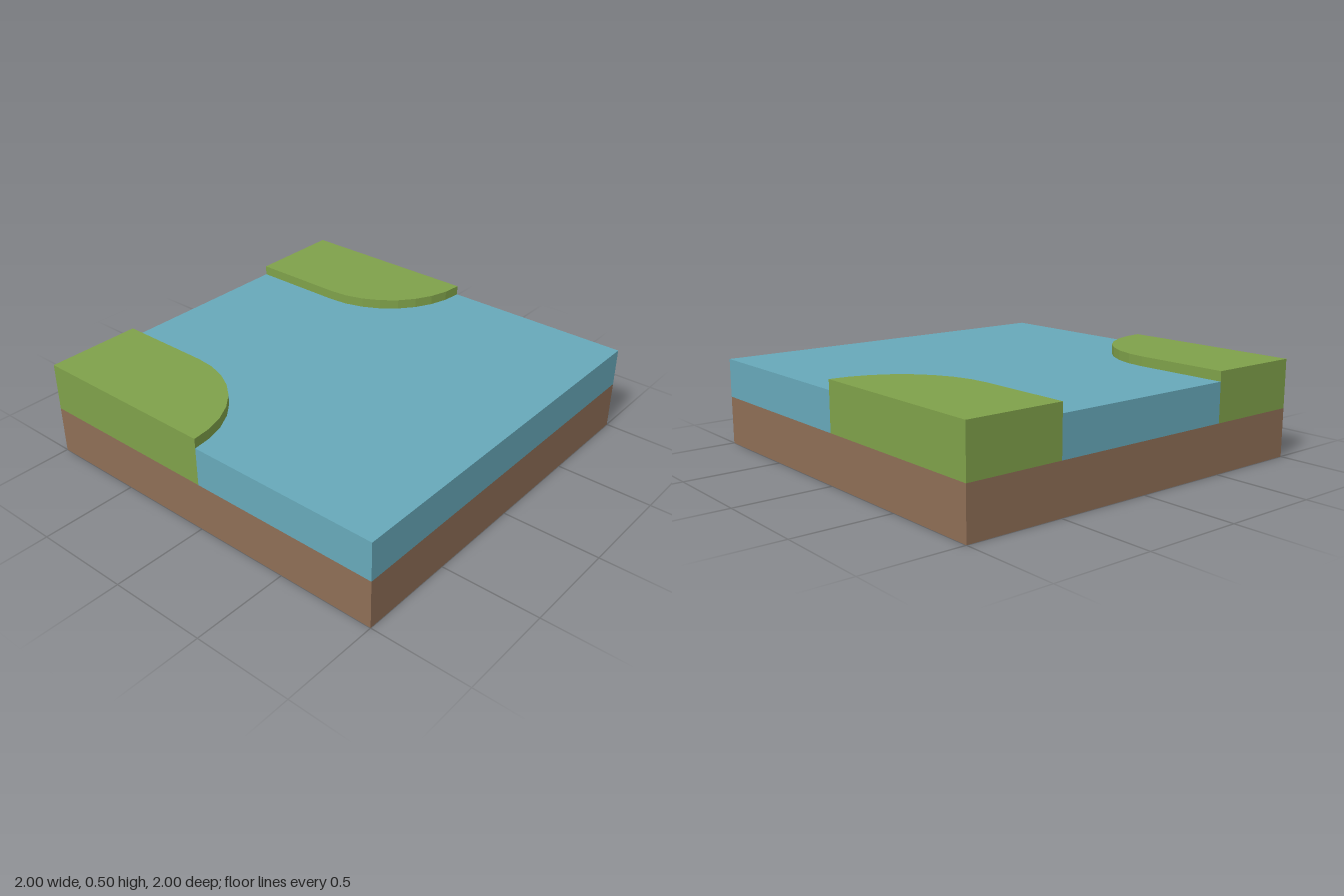
import * as THREE from 'three';

const makeMaterial = (name, color) => {
  const m = new THREE.MeshStandardMaterial({ color, side: THREE.DoubleSide });
  m.name = name;
  return m;
};

// Upright strip along [x, z] points; faces outward on counterclockwise paths (seen from above)
function wall(points, y0, y1) {
  const pos = [];
  for (let i = 0; i < points.length - 1; i++) {
    const [ax, az] = points[i], [bx, bz] = points[i + 1];
    pos.push(ax, y0, az, bx, y0, bz, bx, y1, bz);
    pos.push(ax, y0, az, bx, y1, bz, ax, y1, az);
  }
  const g = new THREE.BufferGeometry();
  g.setAttribute('position', new THREE.Float32BufferAttribute(pos, 3));
  g.computeVertexNormals();
  return g;
}

// Flat horizontal sheet from an [x, z] outline
function sheet(points, y) {
  const shape = new THREE.Shape(points.map(([x, z]) => new THREE.Vector2(x, -z)));
  return new THREE.ShapeGeometry(shape).rotateX(-Math.PI / 2).translate(0, y, 0);
}

export function createModel() {
  const SOIL = 0.25, WATER = 0.45, GRASS = 0.5, STEPS = 8;
  const grass = makeMaterial('grass green', 0x7fa14a);
  const water = makeMaterial('water blue', 0x67a9ba);
  const soil = makeMaterial('soil brown', 0x8e6e56);

  const model = new THREE.Group();
  model.name = 'riverMouthTile';
  const add = (parent, name, geometry, material) => {
    const mesh = new THREE.Mesh(geometry, material);
    mesh.name = name;
    parent.add(mesh);
  };
  const mirror = (pts) => pts.map(([x, z]) => [-x, z]).reverse();

  // Bank edge: straight along the river, then a quarter circle out to the side
  const leftEdge = [[0.5, -1]];
  for (let i = 0; i <= STEPS; i++) {
    const a = Math.PI - (i / STEPS) * Math.PI / 2;
    leftEdge.push([1 + 0.5 * Math.cos(a), -0.5 + 0.5 * Math.sin(a)]);
  }
  const leftOuter = [[1, 0], [1, -1], [0.5, -1]];
  const rightEdge = mirror(leftEdge);
  const rightOuter = mirror(leftOuter);

  // Soil skirt, open underneath
  add(model, 'soilSkirt', wall([[-1, 1], [1, 1], [1, -1], [-1, -1], [-1, 1]], 0, SOIL), soil);

  // Water surface and its cut sides
  const river = new THREE.Group();
  river.name = 'river';
  const outline = [[-1, 1], [1, 1], ...leftEdge.slice().reverse(), ...rightEdge.slice().reverse()];
  add(river, 'waterSurface', sheet(outline, WATER), water);
  add(river, 'waterFrontSides', wall([[-1, 0], [-1, 1], [1, 1], [1, 0]], SOIL, WATER), water);
  add(river, 'waterBackSide', wall([[0.5, -1], [-0.5, -1]], SOIL, WATER), water);
  model.add(river);

  // Grassy banks
  for (const [name, edge, outer] of [['leftBank', leftEdge, leftOuter], ['rightBank', rightEdge, rightOuter]]) {
    const bank = new THREE.Group();
    bank.name = name;
    add(bank, name + 'Top', sheet([...edge, ...outer.slice(1, -1)], GRASS), grass);
    add(bank, name + 'RiverEdge', wall(edge, WATER, GRASS), grass);
    add(bank, name + 'OuterSides', wall(outer, SOIL, GRASS), grass);
    model.add(bank);
  }
  return model;
}
